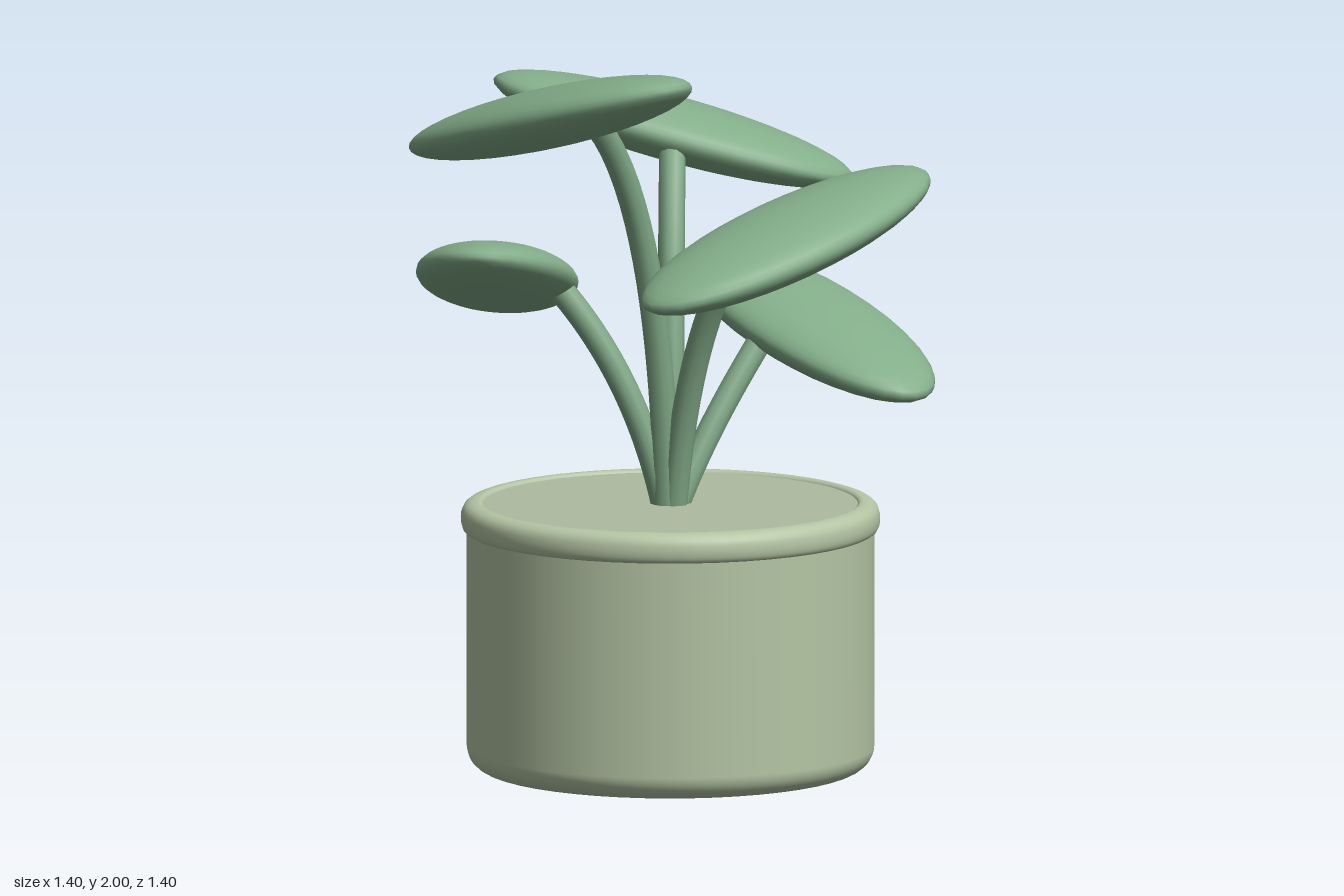
import * as THREE from 'three';

const LEAF = 0x83ad89, STEM = 0x7fa785, POT = 0xb4c5a4, SOIL = 0xaebba0;

function part(name, geometry, color) {
  const mesh = new THREE.Mesh(geometry, new THREE.MeshStandardMaterial({ color }));
  mesh.name = name;
  return mesh;
}

// Pot: straight wall with a rounded foot
function makePot() {
  const pot = new THREE.Group();
  pot.name = 'pot';

  const wall = new THREE.Path();
  wall.moveTo(0, 0);
  wall.lineTo(0.47, 0);
  wall.lineTo(0.49, 0.002);
  wall.absarc(0.485, 0.067, 0.065, -Math.PI / 2 + 0.15, 0, false);
  wall.lineTo(0.55, 0.68);
  pot.add(part('potBody', new THREE.LatheGeometry(wall.getPoints(6), 48), POT));

  // Rolled rim around the top
  const rim = new THREE.Path();
  rim.moveTo(0.54, 0.655);
  rim.lineTo(0.553, 0.655);
  rim.quadraticCurveTo(0.566, 0.66, 0.566, 0.69);
  rim.quadraticCurveTo(0.566, 0.735, 0.52, 0.735);
  rim.quadraticCurveTo(0.505, 0.735, 0.503, 0.715);
  pot.add(part('potRim', new THREE.LatheGeometry(rim.getPoints(6), 48), POT));

  // Soil just below the rim
  const soil = part('soil', new THREE.CylinderGeometry(0.507, 0.507, 0.06, 48), SOIL);
  soil.position.y = 0.697;
  pot.add(soil);
  return pot;
}

// One stem with its leaf, built along +x and then turned around the pot
function makeShoot(i) {
  const shoot = new THREE.Group();
  shoot.name = 'shoot' + (i + 1);
  const leafY = 1.172 + 0.167 * i;

  // Stem rises, then bends out under the leaf's inner edge
  const bend = new THREE.QuadraticBezierCurve3(
    new THREE.Vector3(0.012, 0.7, 0),
    new THREE.Vector3(0.1 - 0.015 * i, leafY - 0.28, 0),
    new THREE.Vector3(0.3, leafY - 0.03, 0)
  );
  shoot.add(part('stem', new THREE.TubeGeometry(bend, 20, 0.036, 10), STEM));
  const tip = part('stemTip', new THREE.SphereGeometry(0.036, 10, 8), STEM);
  tip.position.copy(bend.v2);
  shoot.add(tip);

  // Leaf: flattened ellipsoid lying across the stem, tipped sideways
  const leaf = part('leaf', new THREE.SphereGeometry(1, 32, 20), LEAF);
  leaf.scale.set(0.215, 0.083, 0.505);
  leaf.rotation.x = 0.272;
  leaf.position.set(0.47, leafY, 0);
  shoot.add(leaf);

  // Golden-angle spiral
  shoot.rotation.y = THREE.MathUtils.degToRad(137.5 * i);
  return shoot;
}

export function createModel() {
  const model = new THREE.Group();
  model.name = 'pottedPlant';
  model.add(makePot());
  for (let i = 0; i < 5; i++) model.add(makeShoot(i));
  model.position.set(0.005, 0, 0.013);
  return model;
}
